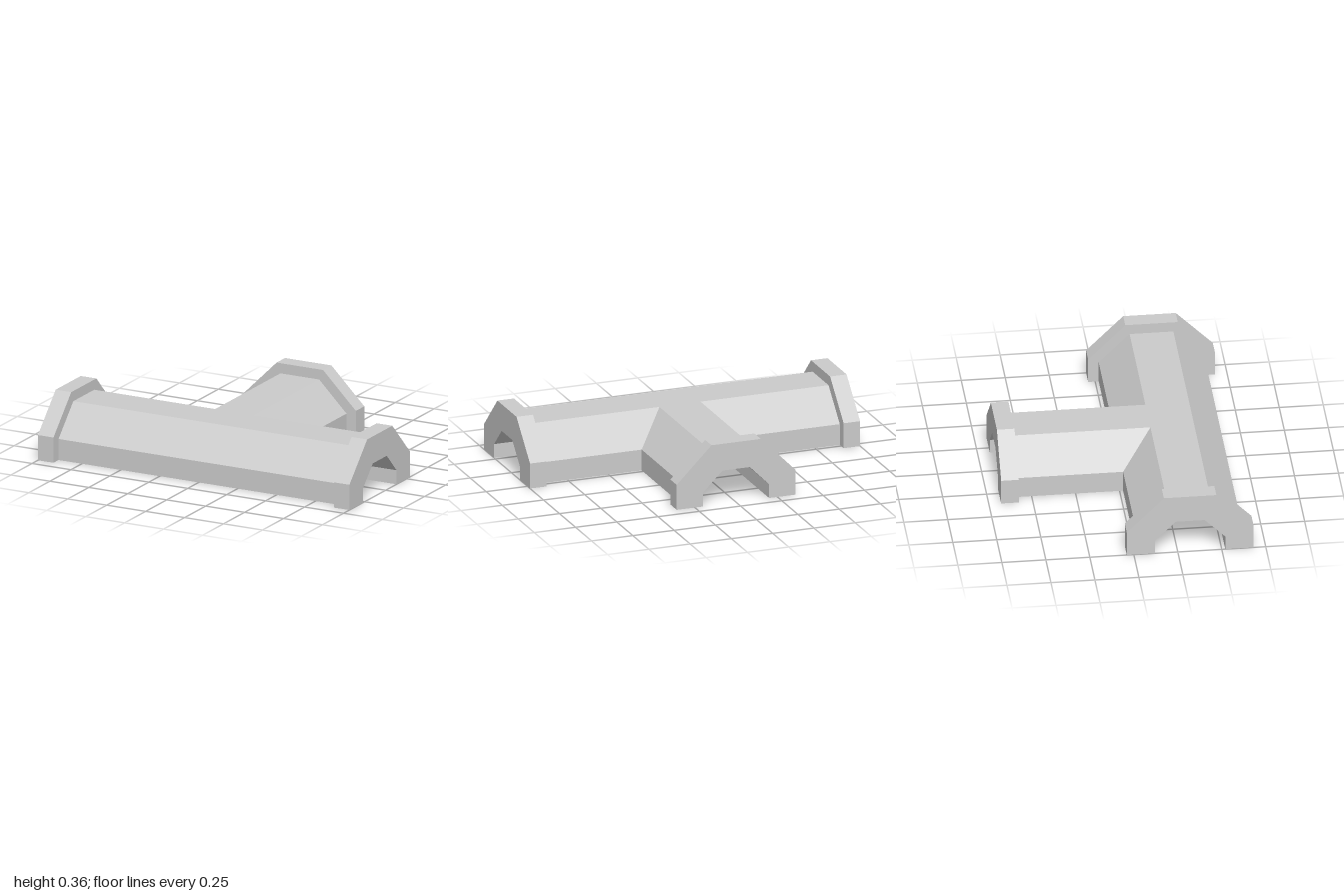
import * as THREE from 'three';

const ARM = 1, FLANGE = 0.1, JUNCTION_Z = 0.32;
const PIPE_R = 0.3, FLANGE_R = 0.36, BORE_R = 0.2;

const material = new THREE.MeshStandardMaterial({ color: 0xcccccc, flatShading: true });

// Half octagon arch from -x over the top to +x, with a point at the crown
function arch(r) {
  const k = r * (Math.SQRT2 - 1);
  return [[-r, 0], [-r, k], [-k, r], [0, r], [k, r], [r, k], [r, 0]];
}

// Closed ring: outer arch, then back along the bore
function ring(r) {
  return [...arch(r), ...arch(BORE_R).reverse()];
}

// Open-ended channel along z; start(x) gives the mitred end
function channel(start) {
  const pts = ring(PIPE_R), end = ARM - FLANGE, pos = [];
  pts.forEach(([ax, ay], i) => {
    const [bx, by] = pts[(i + 1) % pts.length];
    const a0 = [ax, ay, start(ax)], a1 = [ax, ay, end];
    const b0 = [bx, by, start(bx)], b1 = [bx, by, end];
    pos.push(...a0, ...a1, ...b1, ...a0, ...b1, ...b0);
  });
  const geo = new THREE.BufferGeometry();
  geo.setAttribute('position', new THREE.Float32BufferAttribute(pos, 3));
  geo.computeVertexNormals();
  return geo;
}

// Collar at the end of an arm
function flange() {
  const shape = new THREE.Shape(ring(FLANGE_R).map(([x, y]) => new THREE.Vector2(x, y)));
  const geo = new THREE.ExtrudeGeometry(shape, { depth: FLANGE, bevelEnabled: false });
  return geo.translate(0, 0, ARM - FLANGE);
}

export function createModel() {
  const model = new THREE.Group();
  model.name = 'teePipeCover';

  // Three arms meeting in mitred valleys
  const arms = [
    ['leftArm', Math.PI / 2, x => Math.max(x, 0)],
    ['rightArm', -Math.PI / 2, x => Math.max(-x, 0)],
    ['branchArm', Math.PI, x => Math.abs(x)],
  ];
  for (const [name, turn, start] of arms) {
    const arm = new THREE.Group();
    arm.name = name;
    const pipe = new THREE.Mesh(channel(start), material);
    pipe.name = 'channel';
    const collar = new THREE.Mesh(flange(), material);
    collar.name = 'endFlange';
    arm.add(pipe, collar);
    arm.rotation.y = turn;
    arm.position.z = JUNCTION_Z;
    model.add(arm);
  }
  return model;
}
